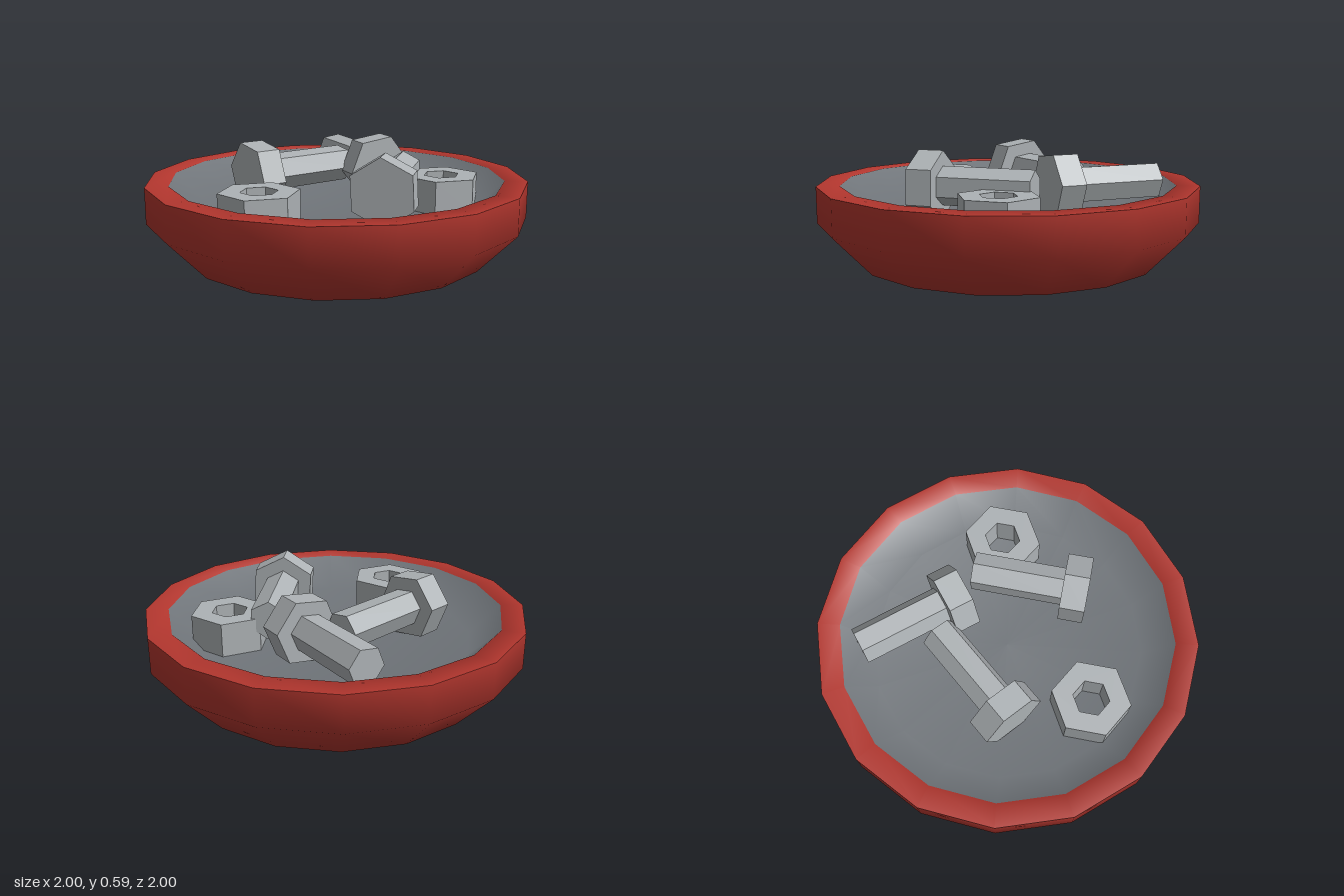
import * as THREE from 'three';

const red = new THREE.MeshStandardMaterial({ color: 0xb2362e });
red.name = 'dishRed';
const darkGrey = new THREE.MeshStandardMaterial({ color: 0x70757a });
darkGrey.name = 'liningGrey';
const steel = new THREE.MeshStandardMaterial({ color: 0xadb2b5 });
steel.name = 'steel';

const lathe = (pts) => new THREE.LatheGeometry(pts.map(([x, y]) => new THREE.Vector2(x, y)), 16);

function part(name, geometry, material) {
  const mesh = new THREE.Mesh(geometry, material);
  mesh.name = name;
  return mesh;
}

// Flat-shaded hexagonal bar along +z, one ridge on top before rolling
function hexBar(radius, start, length, roll) {
  const g = new THREE.CylinderGeometry(radius, radius, length, 6).toNonIndexed();
  g.rotateX(Math.PI / 2).rotateZ(roll).translate(0, 0, start + length / 2);
  g.computeVertexNormals();
  return g;
}

// Bolt lying level, from the outer face of its head to the shaft tip
function bolt(name, [x, z], [tipX, tipZ], rollDegrees) {
  const group = new THREE.Group();
  group.name = name;
  const roll = THREE.MathUtils.degToRad(rollDegrees);
  const length = Math.hypot(tipX - x, tipZ - z);
  group.add(part('boltHead', hexBar(0.178, 0, 0.133, roll), steel));
  group.add(part('boltShaft', hexBar(0.1, 0.13, length - 0.13, roll), steel));
  group.position.set(x, 0.41, z);
  group.rotation.y = Math.atan2(tipX - x, tipZ - z);
  return group;
}

// Hexagonal nut with a hexagonal hole
function nut(name, x, z) {
  const hex = (r) => Array.from({ length: 6 }, (_, i) =>
    new THREE.Vector2(r * Math.cos(i * Math.PI / 3), r * Math.sin(i * Math.PI / 3)));
  const shape = new THREE.Shape(hex(0.205));
  shape.holes.push(new THREE.Path(hex(0.095)));
  const g = new THREE.ExtrudeGeometry(shape, { depth: 0.175, bevelEnabled: false });
  g.rotateX(-Math.PI / 2);
  const mesh = part(name, g, steel);
  mesh.position.set(x, 0.24, z);
  return mesh;
}

export function createModel() {
  const model = new THREE.Group();
  model.name = 'dishOfBoltsAndNuts';

  // Dish: smooth outer shell
  model.add(part('dishShell', lathe([[0, 0], [0.8, 0], [1, 0.21], [1, 0.4]]), red));

  // Rim and lining share one smooth surface; the first quad of each segment is the rim
  const inside = lathe([[1, 0.4], [0.88, 0.4], [0.72, 0.24], [0, 0.24]]);
  for (let i = 0; i < 16; i++) {
    inside.addGroup(i * 18, 6, 0);
    inside.addGroup(i * 18 + 6, 12, 1);
  }
  model.add(part('rimAndLining', inside, [red, darkGrey]));

  // Contents
  model.add(bolt('leftLyingBolt', [-0.457, -0.12], [0.123, -0.335], -22));
  model.add(bolt('frontBolt', [0.09, 0.485], [0.4, -0.05], -3));
  model.add(bolt('backBolt', [0.293, -0.14], [0.185, -0.745], 22));
  model.add(nut('rightNut', -0.47, 0.29));
  model.add(nut('leftNut', 0.533, 0.158));
  return model;
}
